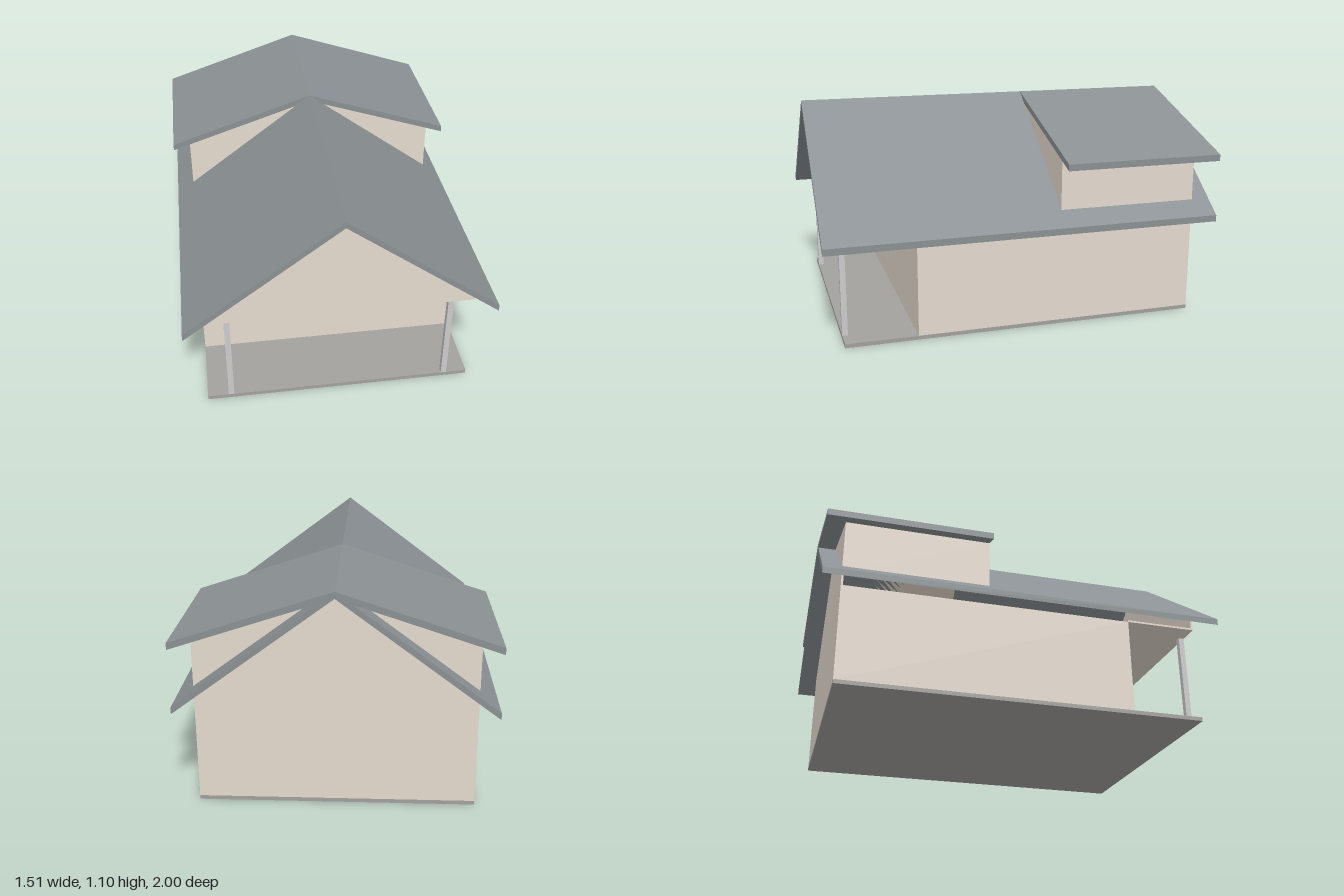
import * as THREE from 'three';

const wallMat = new THREE.MeshStandardMaterial({ color: 0xe4dace });
const roofMat = new THREE.MeshStandardMaterial({ color: 0x8a9093 });
const slabMat = new THREE.MeshStandardMaterial({ color: 0xa3a19d });
const greyMat = new THREE.MeshStandardMaterial({ color: 0xcccccc });

const W = 0.665;      // half width of the walls
const D = 0.905;      // half depth of the walls
const EAVE = 0.755;   // half width of the roofs
const RIDGE = 1.1;
const THICK = 0.033;  // vertical roof thickness
const WALL_TOP = 0.5;
const DORMER_Z = -0.185;

// Underside height of a gable roof at x, given the top height of its eave
const underside = (eaveTop, x) => RIDGE - THICK - (RIDGE - eaveTop) * x / EAVE;

export function createModel() {
  const house = new THREE.Group();
  house.name = 'house';

  const add = (name, geometry, material) => {
    const mesh = new THREE.Mesh(geometry, material);
    mesh.name = name;
    house.add(mesh);
    return mesh;
  };

  // Box given by its limits on each axis
  const box = (name, material, x0, x1, y0, y1, z0, z1) =>
    add(name, new THREE.BoxGeometry(x1 - x0, y1 - y0, z1 - z0), material)
      .position.set((x0 + x1) / 2, (y0 + y1) / 2, (z0 + z1) / 2);

  // Outline in x and y, extruded between two z values
  const prism = (name, material, points, z0, z1) => {
    const shape = new THREE.Shape(points.map(([x, y]) => new THREE.Vector2(x, y)));
    const geometry = new THREE.ExtrudeGeometry(shape, { depth: z1 - z0, bevelEnabled: false });
    add(name, geometry, material).position.z = z0;
  };

  // Chevron-shaped roof with upright eave edges
  const roof = (name, eaveTop, z0, z1) => prism(name, roofMat, [
    [-EAVE, eaveTop - THICK], [0, RIDGE - THICK], [EAVE, eaveTop - THICK],
    [EAVE, eaveTop], [0, RIDGE], [-EAVE, eaveTop],
  ], z0, z1);

  // Ground floor and porch
  box('floorSlab', slabMat, -W, W, 0, 0.02, -D, D);
  box('groundFloorWalls', wallMat, -W, W, 0.02, WALL_TOP, -D, 0.545);
  box('porchCeiling', wallMat, -W, W, WALL_TOP, WALL_TOP + 0.01, 0.545, D - 0.01);
  for (const side of [-1, 1]) {
    const x = side * 0.547;
    box(side > 0 ? 'leftPorchPost' : 'rightPorchPost', greyMat,
      x - 0.014, x + 0.014, 0.02, WALL_TOP, D - 0.028, D);
  }

  // Gable walls under the main roof
  const mainEave = 0.533;
  const gable = [
    [-W, WALL_TOP], [W, WALL_TOP], [W, underside(mainEave, W)],
    [0, RIDGE - THICK], [-W, underside(mainEave, W)],
  ];
  prism('frontGable', wallMat, gable, D - 0.01, D);
  prism('backGable', wallMat, gable, -D, -D + 0.01);

  // Dormer walls: a wedge on each slope between the two roofs
  const dormerEave = 0.85;
  prism('leftDormerWalls', wallMat, [
    [W, underside(mainEave, W)], [W, underside(dormerEave, W)], [0, RIDGE - THICK],
  ], -D, DORMER_Z);
  prism('rightDormerWalls', wallMat, [
    [-W, underside(mainEave, W)], [0, RIDGE - THICK], [-W, underside(dormerEave, W)],
  ], -D, DORMER_Z);

  // Roofs share one ridge line
  roof('mainRoof', mainEave, -1, 1);
  roof('dormerRoof', dormerEave, -1, DORMER_Z);

  return house;
}
